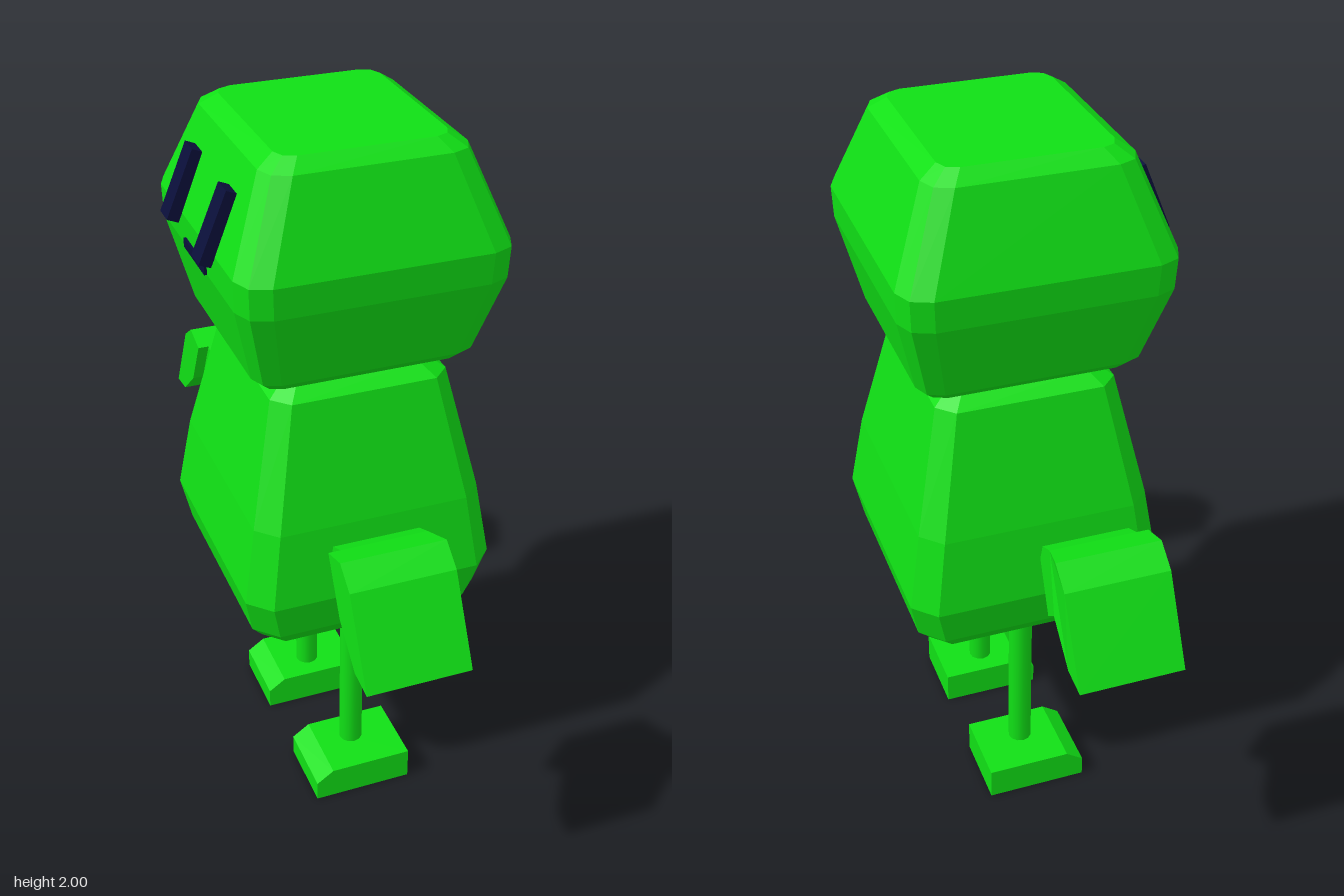
import * as THREE from 'three';

const green = new THREE.MeshStandardMaterial({ color: 0x10e015, flatShading: true });
const smoothGreen = new THREE.MeshStandardMaterial({ color: 0x10e015 });
const navy = new THREE.MeshStandardMaterial({ color: 0x0a0f3a, flatShading: true });
const CX = 0.015; // the body axis sits slightly off centre

// Stack of rounded rectangles; each level is [y, halfX, halfZ, cornerRadius]
function loft(levels, cornerSegments) {
  const rings = levels.map(([y, hx, hz, r]) => {
    const ring = [];
    for (let q = 0; q < 4; q++) {
      const sx = q === 0 || q === 3 ? 1 : -1;
      const sz = q < 2 ? 1 : -1;
      for (let s = 0; s <= cornerSegments; s++) {
        const a = (q + s / cornerSegments) * Math.PI / 2;
        ring.push([sx * (hx - r) + r * Math.cos(a), y, sz * (hz - r) + r * Math.sin(a)]);
      }
    }
    return ring;
  });
  const pos = [];
  const tri = (...points) => points.forEach((p) => pos.push(...p));
  const n = rings[0].length;
  const top = rings.length - 1;
  for (let j = 0; j < n; j++) {
    const k = (j + 1) % n;
    for (let i = 0; i < top; i++) {
      tri(rings[i][j], rings[i + 1][j], rings[i][k]);
      tri(rings[i][k], rings[i + 1][j], rings[i + 1][k]);
    }
    tri([0, levels[top][0], 0], rings[top][k], rings[top][j]);
    tri([0, levels[0][0], 0], rings[0][j], rings[0][k]);
  }
  const g = new THREE.BufferGeometry();
  g.setAttribute('position', new THREE.Float32BufferAttribute(pos, 3));
  g.computeVertexNormals();
  return g;
}

// Outline in (z, y), extruded along x from x0 to x1
function slabAlongX(points, x0, x1) {
  const shape = new THREE.Shape(points.map(([z, y]) => new THREE.Vector2(z, y)));
  const g = new THREE.ExtrudeGeometry(shape, { depth: x1 - x0, bevelEnabled: false });
  return g.rotateY(-Math.PI / 2).translate(x1, 0, 0);
}

export function createModel() {
  const model = new THREE.Group();
  const add = (name, geometry, material, x = 0, y = 0, z = 0) => {
    const mesh = new THREE.Mesh(geometry, material);
    mesh.name = name;
    mesh.position.set(x, y, z);
    model.add(mesh);
    return mesh;
  };

  // Head: wide in the middle, rounded corners
  add('head', loft([
    [1.40, 0.275, 0.28, 0.05],
    [1.425, 0.30, 0.305, 0.06],
    [1.65, 0.357, 0.383, 0.075],
    [1.735, 0.36, 0.388, 0.075],
    [1.97, 0.268, 0.30, 0.065],
    [2.00, 0.222, 0.258, 0.045],
  ], 2), green, CX);

  // Body: pear shape with chamfered corners
  add('body', loft([
    [0.55, 0.205, 0.22, 0.03],
    [0.60, 0.285, 0.29, 0.05],
    [0.67, 0.33, 0.35, 0.06],
    [0.785, 0.355, 0.378, 0.06],
    [1.00, 0.32, 0.35, 0.055],
    [1.34, 0.245, 0.267, 0.045],
    [1.37, 0.20, 0.217, 0.03],
  ], 1), green, CX);

  // Mouth on the -x face of the head
  add('mouth', new THREE.BoxGeometry(0.02, 0.025, 0.18), navy, -0.34, 1.663, 0);

  // Foot profile in (x, y) with a cut toe
  const footShape = new THREE.Shape([
    [-0.14, 0], [0.15, 0], [0.15, 0.095], [-0.09, 0.095], [-0.14, 0.06],
  ].map(([x, y]) => new THREE.Vector2(x, y)));

  // Arm outlines: outer wing and inner shoulder
  const wing = [[0.825, 0.835], [0.705, 1.06], [0.64, 1.107], [0.56, 1.083], [0.64, 0.935], [0.745, 0.845]];
  const shoulder = [[0.64, 1.105], [0.56, 1.083], [0.51, 1.06], [0.495, 1.01], [0.56, 0.87], [0.64, 0.935]];

  // Paired parts
  for (const [side, s] of [['left', 1], ['right', -1]]) {
    const eye = add(side + 'Eye', new THREE.BoxGeometry(0.033, 0.195, 0.063), navy, -0.333, 1.805, s * 0.142);
    eye.rotation.z = -0.395;

    const mirror = ([z, y]) => [s * z, y];
    const wingGeometry = slabAlongX(wing.map(mirror), -0.197, 0.085);
    // Narrow the wing's back edge towards the shoulder
    const p = wingGeometry.attributes.position;
    for (let i = 0; i < p.count; i++) {
      if (p.getX(i) > 0 && Math.abs(p.getZ(i)) < 0.6) p.setX(i, 0.07);
    }
    wingGeometry.computeVertexNormals();
    add(side + 'Wing', wingGeometry, green);
    add(side + 'Shoulder', slabAlongX(shoulder.map(mirror), -0.165, 0.07), green);

    add(side + 'Leg', new THREE.CylinderGeometry(0.034, 0.034, 0.48, 12), smoothGreen, CX, 0.32, s * 0.194);
    const foot = new THREE.ExtrudeGeometry(footShape, { depth: 0.215, bevelEnabled: false });
    add(side + 'Foot', foot.translate(0, 0, -0.1075), green, 0, 0, s * 0.218);
  }
  return model;
}
